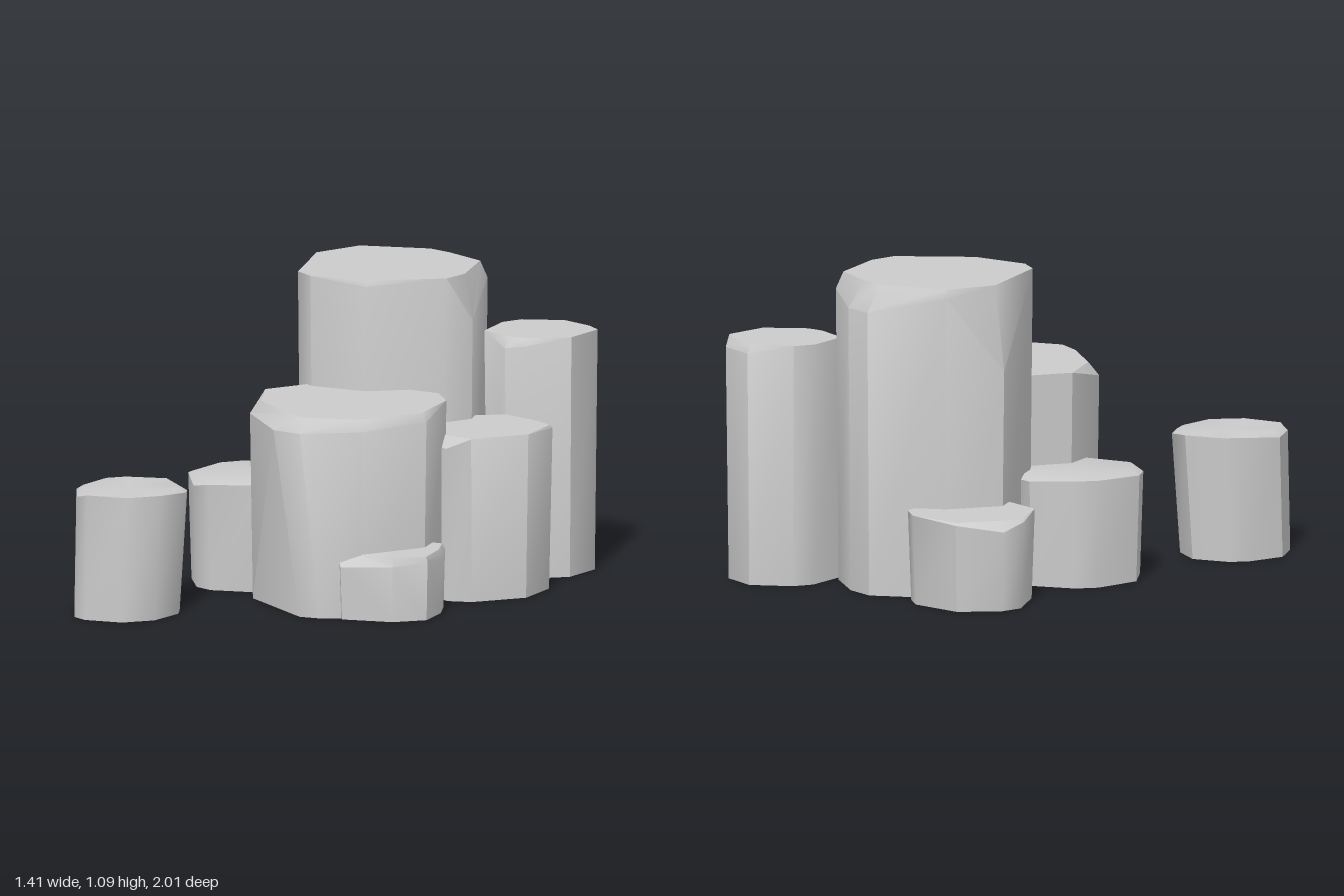
import * as THREE from 'three';
import { toCreasedNormals } from 'three/addons/utils/BufferGeometryUtils.js';

const stone = new THREE.MeshStandardMaterial({ color: 0xcccccc, side: THREE.DoubleSide });

// Uneven rounded outline, counter-clockwise from above, fitted to its x and z limits
function roundOutline(x0, x1, z0, z1, sides, turn) {
  const ring = Array.from({ length: sides }, (_, i) => {
    const t = turn + (i + 0.25 * Math.sin(i * 2.1 + turn)) / sides * Math.PI * 2;
    return new THREE.Vector2(Math.cos(t), -Math.sin(t));
  });
  const box = new THREE.Box2().setFromPoints(ring);
  return ring.map(p => [
    THREE.MathUtils.mapLinear(p.x, box.min.x, box.max.x, x0, x1),
    THREE.MathUtils.mapLinear(p.y, box.min.y, box.max.y, z0, z1),
  ]);
}

// Chipped prism, open underneath. chipAt(i) gives [inset, drop, turn and reach of the foot] for
// a corner; footShift moves the whole foot along z.
function column(name, outline, height, taper, chipAt, footShift = 0) {
  const n = outline.length;
  const cx = outline.reduce((s, p) => s + p[0], 0) / n;
  const cz = outline.reduce((s, p) => s + p[1], 0) / n;
  const foot = [], shoulder = [], rim = [];
  outline.forEach(([x, z], i) => {
    const [inset, drop, turn = 0, reach = taper] = chipAt(i);
    const arm = new THREE.Vector3(x - cx, 0, z - cz);
    const at = (v, y) => new THREE.Vector3(cx + v.x, y, cz + v.z);
    const base = arm.clone().multiplyScalar(reach).applyAxisAngle(THREE.Object3D.DEFAULT_UP, turn);
    base.z += footShift;
    foot.push(at(base, 0));
    shoulder.push(at(arm, height - drop));
    rim.push(at(arm.clone().multiplyScalar(1 - inset), height));
  });

  const pos = [];
  const tri = (a, b, c) => {
    if (new THREE.Triangle(a, b, c).getArea() > 1e-6) for (const v of [a, b, c]) pos.push(...v.toArray());
  };
  const centre = new THREE.Vector3(cx, height, cz);
  for (let i = 0; i < n; i++) {
    const j = (i + 1) % n;
    for (const [lo, hi] of [[foot, shoulder], [shoulder, rim]]) {
      tri(lo[i], lo[j], hi[j]);
      tri(lo[i], hi[j], hi[i]);
    }
    tri(centre, rim[i], rim[j]);
  }
  const geo = new THREE.BufferGeometry();
  geo.setAttribute('position', new THREE.Float32BufferAttribute(pos, 3));
  const mesh = new THREE.Mesh(toCreasedNormals(geo, 0.72), stone);
  mesh.name = name;
  return mesh;
}

export function createModel() {
  const group = new THREE.Group();
  group.name = 'rockColumns';

  // Columns with their own outlines and chipped corners
  const tallOutline = [[-0.13, -0.70], [-0.25, -0.68], [-0.41, -0.45], [-0.43, -0.24], [-0.15, -0.01],
    [-0.06, 0], [0.13, -0.10], [0.25, -0.36], [0.25, -0.47], [0.07, -0.66]];
  const tallChips = { 0: [0.2, 0.09], 1: [0.2, 0.09], 2: [0.03, 0.03], 3: [0.12, 0.3],
    6: [0.03, 0.02], 8: [0.1, 0.16], 9: [0.08, 0.06] };
  const broadOutline = [[0.30, -0.29], [0.08, -0.20], [-0.09, -0.05], [-0.105, 0.16], [0.03, 0.32],
    [0.28, 0.395], [0.41, 0.375], [0.55, 0.21], [0.57, -0.05], [0.42, -0.24]];
  const broadChips = { 4: [0.12, 0.045], 5: [0.17, 0.055, 0.36, 1.02], 6: [0.12, 0.05, 0.2], 7: [0.08, 0.04], 8: [0.06, 0.03] };
  const lowOutline = [[0.54, -0.15], [0.63, -0.075], [0.705, 0.04], [0.665, 0.16],
    [0.52, 0.28], [0.46, 0.25], [0.40, 0.10], [0.42, -0.08]];
  const lowChips = { 0: [0.06, 0.02], 1: [0.08, 0.03], 2: [0.04, 0.02], 3: [0.08, 0.03], 4: [0.3, 0.04] };
  group.add(
    column('tallColumn', tallOutline, 1.09, 0.97, i => tallChips[i] ?? [0, 0]),
    column('broadColumn', broadOutline, 0.70, 0.97, i => broadChips[i] ?? [0, 0]),
    column('lowRightColumn', lowOutline, 0.225, 0.97, i => lowChips[i] ?? [0, 0]),
  );

  // Smaller columns: x limits, z limits, sides, turn; then height, chip depth, most chipped corner, foot shift
  const small = [
    ['leftBackColumn', [-0.71, -0.25, -0.60, -0.16, 9, 0.3], 0.315, 0.035, 4, 0],
    ['leftFrontColumn', [-0.44, 0, -0.10, 0.37, 10, 0.1], 0.38, 0.02, 7, 0],
    ['frontColumn', [-0.20, 0.17, 0.60, 1.00, 10, 0], 0.44, 0.02, 6.5, 0.02],
    ['backColumn', [0.01, 0.37, -1.00, -0.61, 9, 0], 0.85, 0.04, 2.5, 0],
    ['rightBackColumn', [0.17, 0.585, -0.675, -0.19, 9, 0.15], 0.58, 0.04, 2, 0],
  ];
  for (const [name, limits, height, depth, peak, footShift] of small) {
    // Chips swell and fade around the rim
    const chip = i => {
      const k = Math.max(0, Math.cos((i - peak) * 1.3));
      return [0.16 * k, depth * k];
    };
    group.add(column(name, roundOutline(...limits), height, 0.95, chip, footShift));
  }
  return group;
}
